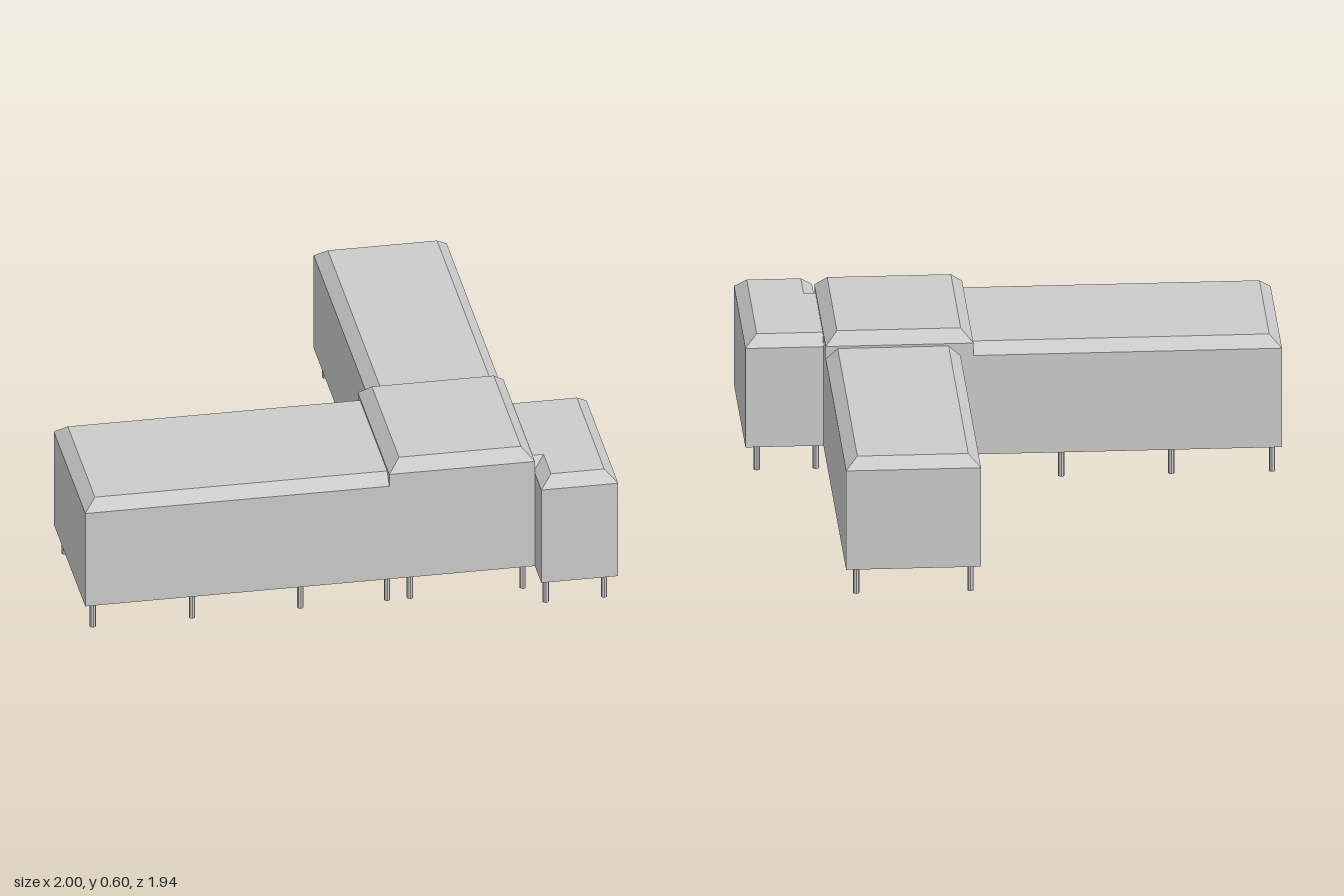
import * as THREE from 'three';

const BASE = 0.107, INSET = 0.045;

// Prism on a right-angled footprint [x, z] (counter-clockwise from above) with a bevelled roof edge
function bevelledBlock(footprint, eaves, top) {
  const n = footprint.length;
  const inward = (p, q) => {
    const dx = q[0] - p[0], dz = q[1] - p[1], l = Math.hypot(dx, dz);
    return [dz / l, -dx / l];
  };
  const roof = footprint.map((p, i) => {
    const a = inward(footprint[(i + n - 1) % n], p);
    const b = inward(p, footprint[(i + 1) % n]);
    return [p[0] + INSET * (a[0] + b[0]), p[1] + INSET * (a[1] + b[1])];
  });
  const rings = [[footprint, BASE], [footprint, eaves], [roof, top]];
  const positions = [], index = [];
  for (const [ring, y] of rings) for (const [x, z] of ring) positions.push(x, y, z);

  // walls and bevels
  for (let r = 0; r < 2; r++) {
    for (let i = 0; i < n; i++) {
      const j = (i + 1) % n, a = r * n, b = a + n;
      index.push(a + i, a + j, b + j, a + i, b + j, b + i);
    }
  }
  // floor and flat roof
  const fill = (ring) => THREE.ShapeUtils.triangulateShape(ring.map(([x, z]) => new THREE.Vector2(x, -z)), []);
  for (const [a, b, c] of fill(footprint)) index.push(a, c, b);
  for (const [a, b, c] of fill(roof)) index.push(2 * n + a, 2 * n + b, 2 * n + c);

  const indexed = new THREE.BufferGeometry();
  indexed.setAttribute('position', new THREE.Float32BufferAttribute(positions, 3));
  indexed.setIndex(index);
  const geometry = indexed.toNonIndexed();
  geometry.computeVertexNormals();
  return geometry;
}

export function createModel() {
  const group = new THREE.Group();
  const material = new THREE.MeshStandardMaterial({ color: 0xcccccc, flatShading: true });
  const add = (name, geometry) => {
    const mesh = new THREE.Mesh(geometry, material);
    mesh.name = name;
    group.add(mesh);
    return mesh;
  };

  // Long side wing, rear wing and small front annex under one bevelled roof
  add('wings', bevelledBlock([
    [-1, 0.832], [0.6, 0.832], [0.6, 0.812], [0.708, 0.812], [0.708, 0.965], [1, 0.965],
    [1, 0.315], [0.708, 0.315], [0.708, -0.973], [0.203, -0.973], [0.203, 0.187], [-1, 0.187],
  ], 0.503, 0.544));

  // Taller block where the wings meet
  add('centreBlock', bevelledBlock(
    [[0.155, 0.832], [0.708, 0.832], [0.708, 0.187], [0.155, 0.187]], 0.553, 0.598));

  // Short posts around the edge, as rows of x positions per z
  const postRows = [
    [0.917, [0.733, 0.955]],
    [0.795, [-0.965, -0.588, -0.176, 0.153, 0.24, 0.668]],
    [0.363, [0.733, 0.955]],
    [0.288, [0.668]],
    [0.223, [-0.965, -0.588, -0.176, 0.153]],
    [0.143, [0.24]],
    [-0.163, [0.24, 0.668]],
    [-0.57, [0.24, 0.668]],
    [-0.935, [0.24, 0.668]],
  ];
  const postGeometry = new THREE.CylinderGeometry(0.012, 0.012, BASE, 8);
  for (const [z, xs] of postRows) {
    for (const x of xs) add('post', postGeometry).position.set(x, BASE / 2, z);
  }
  return group;
}
